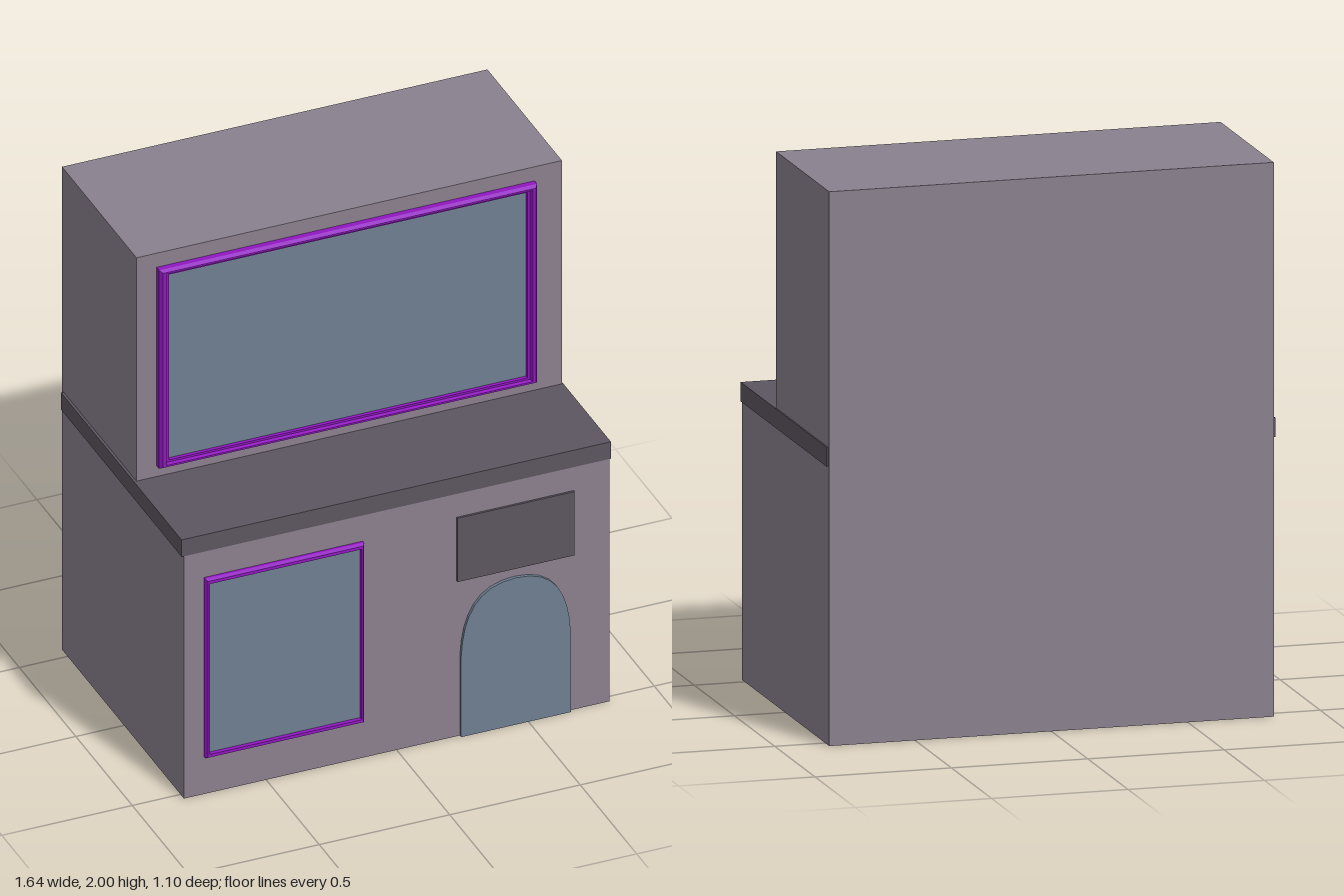
import * as THREE from 'three';

const paint = (color) => new THREE.MeshStandardMaterial({ color });
const wall = paint(0x8a808e), dark = paint(0x5c5560), purple = paint(0x9018c0), glass = paint(0x6f7f92);

// Box given by its minimum and maximum on each axis
function block(name, mat, [x0, x1], [y0, y1], [z0, z1]) {
  const mesh = new THREE.Mesh(new THREE.BoxGeometry(x1 - x0, y1 - y0, z1 - z0), mat);
  mesh.position.set((x0 + x1) / 2, (y0 + y1) / 2, (z0 + z1) / 2);
  mesh.name = name;
  return mesh;
}

// Rectangular moulding: sections are [inset x, inset y, z] from the outer back edge to the inner back edge
function frame(name, [x0, x1], [y0, y1], sections) {
  const pos = [], index = [];
  for (const [ix, iy, z] of sections) {
    pos.push(x0 + ix, y0 + iy, z, x1 - ix, y0 + iy, z, x1 - ix, y1 - iy, z, x0 + ix, y1 - iy, z);
  }
  for (let k = 0; k < sections.length - 1; k++) {
    for (let i = 0; i < 4; i++) {
      const a = k * 4 + i, b = k * 4 + (i + 1) % 4;
      index.push(a, b, b + 4, a, b + 4, a + 4);
    }
  }
  const indexed = new THREE.BufferGeometry();
  indexed.setAttribute('position', new THREE.Float32BufferAttribute(pos, 3));
  indexed.setIndex(index);
  const geo = indexed.toNonIndexed();
  geo.computeVertexNormals();
  const mesh = new THREE.Mesh(geo, purple);
  mesh.name = name;
  return mesh;
}

export function createModel() {
  const model = new THREE.Group();
  model.name = 'shopBuilding';

  // Two storeys with a ledge between them
  model.add(
    block('lowerStorey', wall, [-0.815, 0.815], [0, 1.005], [-0.55, 0.53]),
    block('upperStorey', wall, [-0.815, 0.815], [1.005, 2], [-0.55, 0.11]),
    block('ledge', dark, [-0.825, 0.82], [1.005, 1.075], [-0.535, 0.532]),
  );

  // Large upper window with a stepped moulding
  model.add(
    frame('upperWindowFrame', [-0.738, 0.71], [1.12, 1.942], [
      [0, 0, 0.11], [0, 0, 0.132], [0.01, 0.008, 0.145], [0.022, 0.015, 0.145],
      [0.027, 0.019, 0.132], [0.037, 0.027, 0.132], [0.037, 0.027, 0.11],
    ]),
    block('upperWindowGlass', glass, [-0.703, 0.675], [1.145, 1.917], [0.108, 0.118]),
  );

  // Lower window with a slim bevelled frame
  model.add(
    frame('lowerWindowFrame', [-0.738, -0.13], [0.155, 0.897], [
      [0, 0, 0.53], [0, 0, 0.54], [0.006, 0.006, 0.552], [0.013, 0.018, 0.552], [0.013, 0.018, 0.53],
    ]),
    block('lowerWindowGlass', glass, [-0.727, -0.141], [0.17, 0.882], [0.528, 0.536]),
  );

  // Blank sign panel above the door
  model.add(block('signPanel', dark, [0.23, 0.678], [0.643, 0.907], [0.528, 0.538]));

  // Arched door
  const arch = new THREE.Shape();
  arch.moveTo(0.242, 0);
  arch.lineTo(0.662, 0);
  arch.lineTo(0.662, 0.33);
  arch.bezierCurveTo(0.655, 0.5, 0.6, 0.608, 0.452, 0.608);
  arch.bezierCurveTo(0.304, 0.608, 0.249, 0.5, 0.242, 0.33);
  arch.closePath();
  const door = new THREE.Mesh(
    new THREE.ExtrudeGeometry(arch, { depth: 0.014, bevelEnabled: false, curveSegments: 8 }), glass);
  door.position.z = 0.528;
  door.name = 'door';
  model.add(door);

  return model;
}
